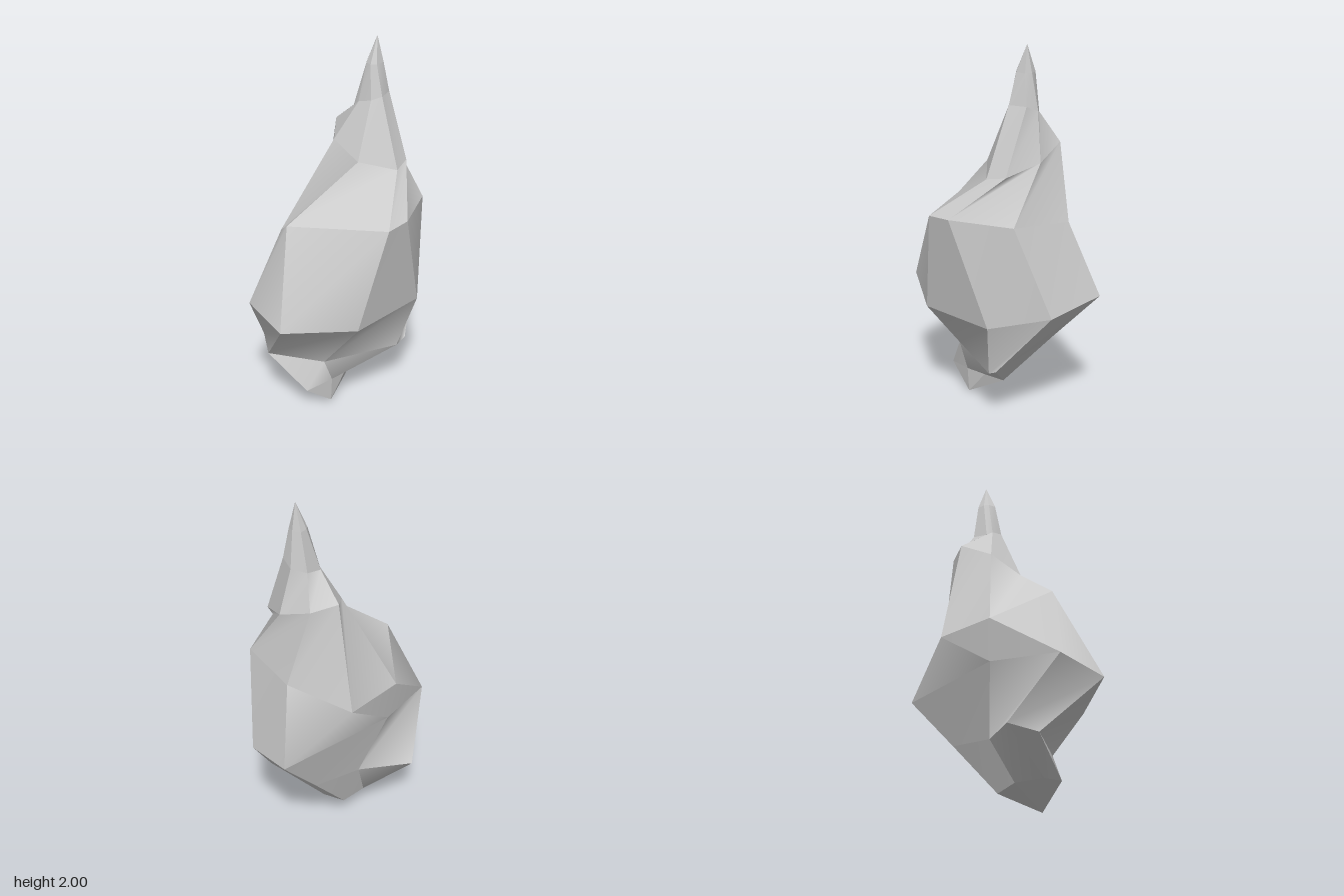
import * as THREE from 'three';

const v = (x, y, z) => new THREE.Vector3(x, y, z);

// Seven-sided cross-sections from the tip down; each runs left, front, right, back
const TIP = v(0.24, 2, -0.04);
const FOOT = v(-0.14, 0, 0.05);
const RINGS = [
  // thin neck of the spire
  [v(0.18, 1.86, -0.02), v(0.205, 1.86, 0), v(0.26, 1.86, -0.012), v(0.267, 1.86, -0.05),
    v(0.245, 1.86, -0.09), v(0.205, 1.86, -0.08), v(0.185, 1.86, -0.06)],
  // base of the spire
  [v(0.16, 1.68, 0.01), v(0.205, 1.7, 0.045), v(0.29, 1.7, 0), v(0.295, 1.67, -0.07),
    v(0.235, 1.65, -0.125), v(0.14, 1.63, -0.105), v(0.14, 1.66, -0.065)],
  // upper shoulder
  [v(0.04, 1.385, 0.055), v(0.2, 1.34, 0.18), v(0.3, 1.36, 0.135), v(0.35, 1.42, -0.045),
    v(0.29, 1.49, -0.22), v(0.15, 1.51, -0.265), v(0.04, 1.45, -0.145)],
  // lower shoulder
  [v(-0.35, 1.1, -0.04), v(-0.02, 1.13, 0.38), v(0.12, 1.14, 0.36), v(0.4, 1.13, 0.16),
    v(0.41, 1.1, -0.185), v(0.15, 0.93, -0.38), v(-0.19, 0.93, -0.315)],
  // widest girdle
  [v(-0.53, 0.61, 0.135), v(-0.16, 0.57, 0.31), v(0.3, 0.58, 0.25), v(0.51, 0.64, 0),
    v(0.525, 0.7, -0.31), v(-0.16, 0.71, -0.29), v(-0.53, 0.67, -0.14)],
  // underside, with a knob at the back
  [v(-0.4, 0.295, -0.17), v(-0.2, 0.28, 0.07), v(0.22, 0.28, 0.18), v(0.28, 0.31, 0.18),
    v(0.26, 0.4, -0.215), v(-0.04, 0.355, -0.2), v(-0.33, 0.33, -0.31)],
  // collar above the foot
  [v(-0.3, 0.12, 0.045), v(-0.14, 0.14, 0.06), v(-0.02, 0.14, 0.03), v(0.07, 0.12, -0.03),
    v(0, 0.1, -0.12), v(-0.14, 0.12, -0.12), v(-0.285, 0.12, -0.05)],
];

// Joins the cross-sections with separate facets, so every facet keeps sharp borders
function facetedLoft(tip, rings, foot) {
  const points = [];
  const index = [];
  const facet = (...corners) => {
    const s = points.length;
    points.push(...corners);
    if (corners.length === 3) index.push(s, s + 1, s + 2);
    else index.push(s, s + 1, s + 3, s + 1, s + 2, s + 3);
  };
  const n = rings[0].length;
  const last = rings.length - 1;
  for (let j = 0; j < n; j++) {
    const k = (j + 1) % n;
    facet(tip, rings[0][j], rings[0][k]);
    for (let i = 0; i < last; i++) {
      facet(rings[i][j], rings[i + 1][j], rings[i + 1][k], rings[i][k]);
    }
    facet(rings[last][j], foot, rings[last][k]);
  }
  const geometry = new THREE.BufferGeometry().setFromPoints(points);
  geometry.setIndex(index);
  geometry.computeVertexNormals();
  return geometry;
}

export function createModel() {
  const model = new THREE.Group();
  model.name = 'spiredRock';
  const body = new THREE.Mesh(
    facetedLoft(TIP, RINGS, FOOT),
    new THREE.MeshStandardMaterial({ color: 0xcccccc }),
  );
  body.name = 'rockBody';
  model.add(body);
  return model;
}
